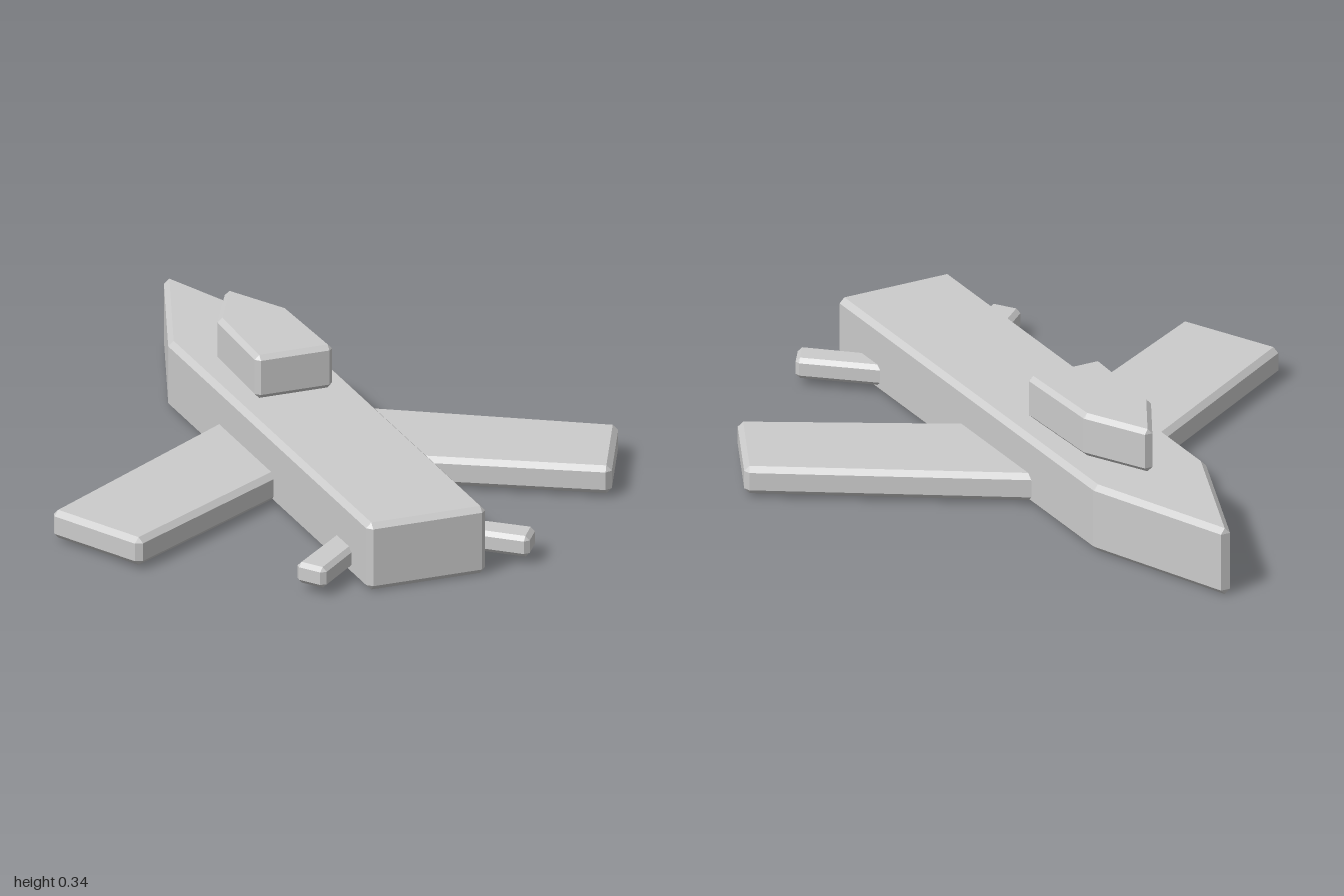
import * as THREE from 'three';
import { ConvexGeometry } from 'three/addons/geometries/ConvexGeometry.js';

const material = new THREE.MeshStandardMaterial({ color: 0xcccccc, flatShading: true });

// Convex slab from a plan outline of [x, z] corners, with every edge chamfered by b
function chamferedSlab(name, outline, y0, y1, b) {
  const corners = outline.map(([x, z]) => new THREE.Vector2(x, z));
  const turn = Math.sign(THREE.ShapeUtils.area(corners));
  const count = corners.length;
  const normals = corners.map((p, i) => {
    const d = corners[(i + 1) % count].clone().sub(p).normalize();
    return new THREE.Vector2(d.y, -d.x).multiplyScalar(turn);
  });
  const points = [];
  corners.forEach((p, i) => {
    const n1 = normals[(i + count - 1) % count], n2 = normals[i];
    const inner = p.clone().addScaledVector(n1.clone().add(n2), -b / (1 + n1.dot(n2)));
    for (const y of [y0, y1]) points.push(new THREE.Vector3(inner.x, y, inner.y));
    for (const n of [n1, n2]) {
      const side = inner.clone().addScaledVector(n, b);
      for (const y of [y0 + b, y1 - b]) points.push(new THREE.Vector3(side.x, y, side.y));
    }
  });
  const mesh = new THREE.Mesh(new ConvexGeometry(points), material);
  mesh.name = name;
  return mesh;
}

export function createModel() {
  const model = new THREE.Group();
  model.name = 'aircraft';

  // Fuselage with a pointed nose toward -z, and the canopy on top
  model.add(chamferedSlab('fuselage',
    [[-0.187, 1], [-0.187, -0.54], [0, -1.034], [0.187, -0.54], [0.187, 1]], 0, 0.21, 0.016));
  model.add(chamferedSlab('canopy',
    [[-0.122, -0.02], [-0.112, -0.345], [0, -0.556], [0.112, -0.345], [0.122, -0.02]], 0.21, 0.345, 0.014));

  // Swept wings and tail fins, rooted inside the fuselage
  for (const [side, s] of [['left', 1], ['right', -1]]) {
    const mirror = (outline) => outline.map(([x, z]) => [s * x, z]);
    model.add(chamferedSlab(side + 'Wing',
      mirror([[0.1, -0.222], [0.892, 0.284], [0.742, 0.597], [0.1, 0.22]]), 0.01, 0.097, 0.016));
    model.add(chamferedSlab(side + 'TailFin',
      mirror([[0.1, 0.664], [0.377, 0.908], [0.321, 0.991], [0.1, 0.79]]), 0.023, 0.088, 0.013));
  }
  return model;
}
